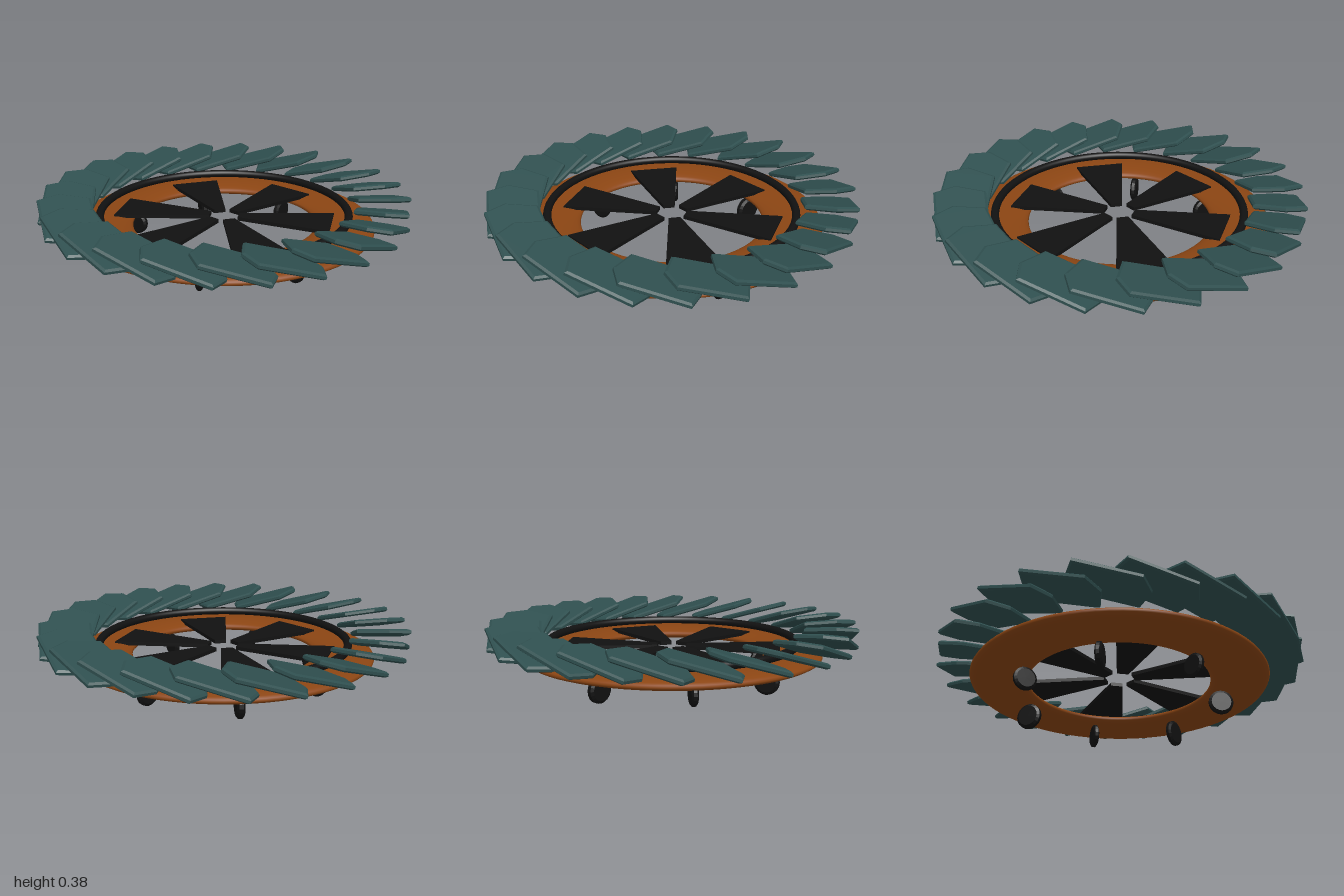
import * as THREE from 'three';

const teal = new THREE.MeshStandardMaterial({ name: 'slateTeal', color: 0x2f4f4f });
const brown = new THREE.MeshStandardMaterial({ name: 'saddleBrown', color: 0x8b4513 });
const black = new THREE.MeshStandardMaterial({ name: 'nearBlack', color: 0x111111 });

// Upright plate outline (radius, half width) pairs, mirrored and laid flat, centred on y = 0
function radialPlate(outline, thickness, bevel) {
  const pts = [
    ...outline.map(([r, w]) => new THREE.Vector2(r, -w)),
    ...outline.slice().reverse().map(([r, w]) => new THREE.Vector2(r, w)),
  ];
  const geo = new THREE.ExtrudeGeometry(new THREE.Shape(pts), {
    depth: thickness - 2 * bevel,
    bevelEnabled: bevel > 0,
    bevelThickness: bevel,
    bevelSize: bevel * 1.5,
    bevelOffset: -bevel * 1.5,
    bevelSegments: 1,
  });
  geo.translate(0, 0, bevel - thickness / 2);
  return geo.rotateX(-Math.PI / 2);
}

// Places copies of a part around the vertical axis
function ring(parent, name, count, start, make) {
  for (let i = 0; i < count; i++) {
    const arm = new THREE.Group();
    arm.name = name;
    arm.rotation.y = start + (i * Math.PI * 2) / count;
    arm.add(make(i));
    parent.add(arm);
  }
}

function flatTorus(name, radius, tubeWidth, tubeHeight, y, material) {
  const geo = new THREE.TorusGeometry(radius, tubeWidth, 24, 80).rotateX(Math.PI / 2);
  geo.scale(1, tubeHeight / tubeWidth, 1);
  const mesh = new THREE.Mesh(geo, material);
  mesh.name = name;
  mesh.position.y = y;
  return mesh;
}

export function createModel() {
  const model = new THREE.Group();
  model.name = 'bladedRing';

  // Flattened body ring and the thin dark hoop above it
  model.add(flatTorus('bodyRing', 0.66, 0.16, 0.036, 0.19, brown));
  model.add(flatTorus('hoop', 0.678, 0.022, 0.022, 0.253, black));

  // Outer ring of overlapping tilted blades
  const bladeGeo = radialPlate([[0.71, 0.145], [0.87, 0.21], [0.99, 0.172]], 0.03, 0.008);
  ring(model, 'blade', 24, 0, () => {
    const blade = new THREE.Mesh(bladeGeo, teal);
    blade.name = 'bladePlate';
    blade.position.y = 0.305;
    blade.rotation.x = -0.3;
    return blade;
  });

  // Six wedge spokes
  const spokeGeo = radialPlate([[0.08, 0.032], [0.59, 0.141]], 0.02, 0);
  ring(model, 'spoke', 6, 0, () => {
    const spoke = new THREE.Mesh(spokeGeo, black);
    spoke.name = 'spokePlate';
    spoke.position.y = 0.222;
    return spoke;
  });

  // Seven small wheels underneath, from the front round towards +x: [radius, thickness, centre height]
  const wheels = [
    [0.064, 0.03, 0.097], [0.068, 0.034, 0.09], [0.075, 0.034, 0.075], [0.068, 0.034, 0.09],
    [0.073, 0.042, 0.083], [0.064, 0.036, 0.093], [0.071, 0.036, 0.084],
  ];
  ring(model, 'wheel', wheels.length, -Math.PI / 2, (i) => {
    const [r, t, y] = wheels[i];
    const h = t / 2;
    const profile = [[0, -h], [r * 0.8, -h], [r, -h * 0.5], [r, h * 0.5], [r * 0.8, h], [0, h]]
      .map(([px, py]) => new THREE.Vector2(px, py));
    const geo = new THREE.LatheGeometry(profile, 20).rotateX(Math.PI / 2).toNonIndexed();
    geo.computeVertexNormals();
    const wheel = new THREE.Mesh(geo, black);
    wheel.name = 'wheelDisc';
    wheel.position.set(0.56, y, 0);
    return wheel;
  });

  return model;
}
